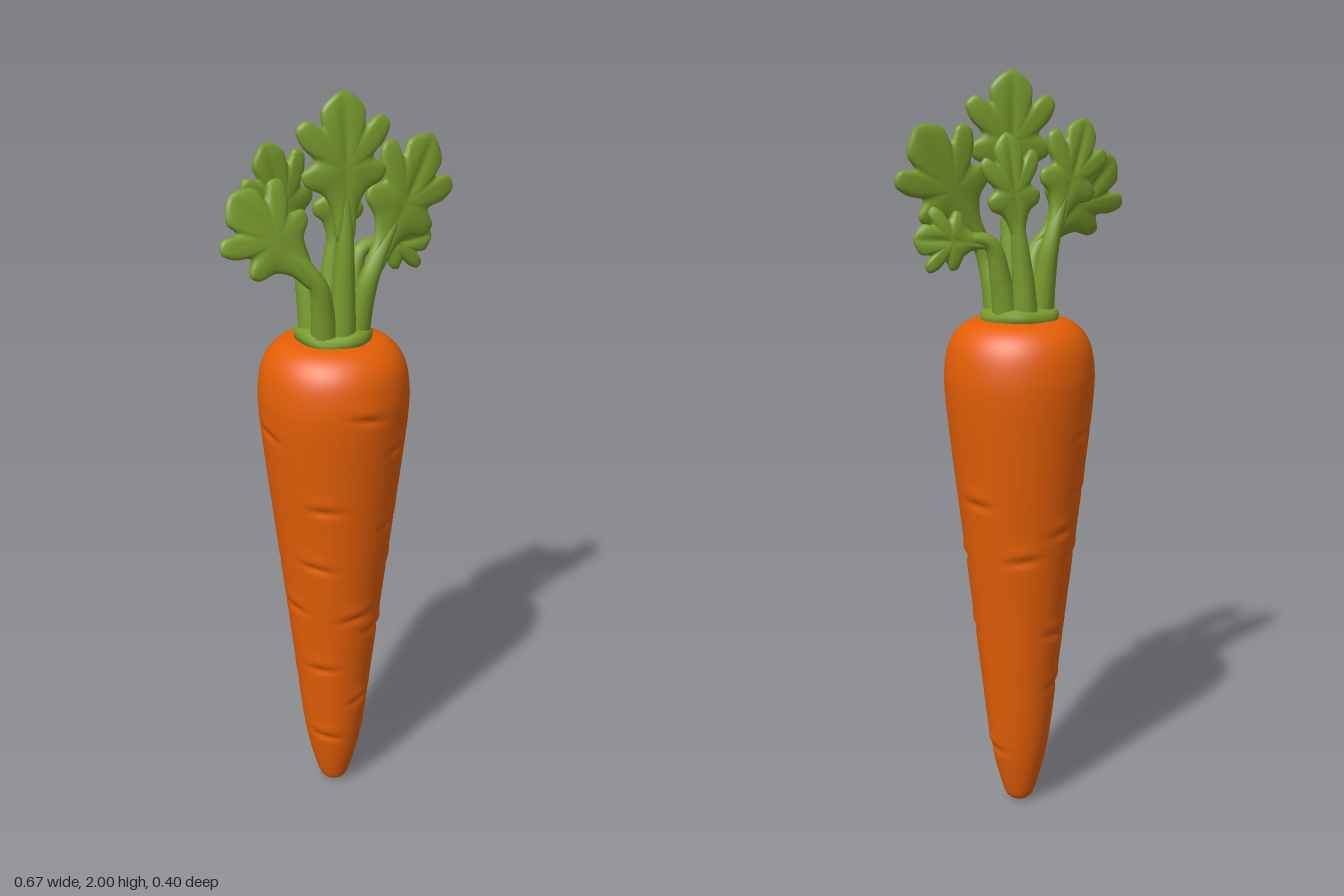
import * as THREE from 'three';
import { mergeVertices } from 'three/addons/utils/BufferGeometryUtils.js';

const V3 = (x, y, z) => new THREE.Vector3(x, y, z);

// Moves every vertex by a rule, then welds and smooths the surface
function reshape(geometry, rule) {
  const pos = geometry.attributes.position;
  const v = new THREE.Vector3();
  for (let i = 0; i < pos.count; i++) {
    v.fromBufferAttribute(pos, i);
    rule(v, i);
    pos.setXYZ(i, v.x, v.y, v.z);
  }
  geometry.deleteAttribute('uv');
  geometry.deleteAttribute('normal');
  const welded = mergeVertices(geometry, 1e-5);
  welded.computeVertexNormals();
  return welded;
}

// Short creases around the root: angle from the front, height
const CREASES = [
  [0, 1.21], [-0.6, 0.95], [0.65, 1.1], [-0.75, 0.77], [0.7, 0.87], [0, 0.6], [0.63, 0.54],
  [-0.75, 0.43], [0.45, 0.31], [-0.75, 0.19], [2.0, 0.9], [1.2, 0.73], [1.1, 0.53], [1.57, 0.17],
  [-2.4, 1.08], [-2.3, 0.92], [-2.25, 0.74], [-2.7, 0.82], [-2.6, 0.52], [-2.3, 0.36], [2.8, 0.75],
  [-1.5, 1.14], [-1.4, 0.62],
];

function rootGeometry() {
  const profile = new THREE.SplineCurve([
    [0, 0], [0.025, 0.006], [0.046, 0.04], [0.08, 0.18], [0.107, 0.4], [0.13, 0.6], [0.154, 0.8],
    [0.178, 1.0], [0.196, 1.17], [0.197, 1.25], [0.183, 1.315], [0.15, 1.357], [0.1, 1.375], [0, 1.378],
  ].map(([x, y]) => new THREE.Vector2(x, y)));
  const points = profile.getSpacedPoints(190);
  points.forEach((p) => { p.x = Math.max(p.x, 0); p.y = Math.max(p.y, 0); });
  return reshape(new THREE.LatheGeometry(points, 72), (v) => {
    const r = Math.hypot(v.x, v.z);
    if (r < 0.02) return;
    const a = Math.atan2(v.x, v.z);
    let d = 0;
    CREASES.forEach(([ca, cy], i) => {
      let da = a - ca;
      da -= Math.round(da / (2 * Math.PI)) * 2 * Math.PI;
      const across = Math.exp(-((da * r / 0.04) ** 2));
      const dy = v.y - cy - da * r * 0.15 * (i % 3 - 1);
      // a sharp groove below a soft swelling
      d += across * (0.003 * Math.exp(-(((dy - 0.025) / 0.02) ** 2)) - 0.007 * Math.exp(-((dy / 0.01) ** 2)));
    });
    const k = (r + d) / r;
    v.x *= k;
    v.z *= k;
  });
}

// Wedge-based lobed leaf outline, one unit long, counter-clockwise from the right side
const HALF = [
  [0.07, 0], [0.11, 0.2], [0.2, 0.33], [0.36, 0.4], [0.39, 0.48], [0.27, 0.56],
  [0.38, 0.66], [0.43, 0.77], [0.34, 0.83], [0.2, 0.77], [0.2, 0.88], [0.11, 0.96],
];
const OUTLINE = new THREE.CatmullRomCurve3([
  ...HALF.map(([x, y]) => V3(x, y, 0)), V3(0, 1, 0),
  ...HALF.slice().reverse().map(([x, y]) => V3(-x, y, 0)),
], true, 'centripetal');

// Puffy leaf blade from its joint to its tip, rolled about its length
function leafGeometry(joint, tip, width, roll, thick) {
  const dir = tip.clone().sub(joint);
  const length = dir.length();
  const up = dir.clone().normalize();
  const side = up.clone().cross(V3(0, 0, 1)).normalize().applyAxisAngle(up, roll);
  const face = side.clone().cross(up);
  const center = V3(0, 0.5, 0);
  const ball = new THREE.SphereGeometry(1, 96, 16).rotateX(Math.PI / 2);
  return reshape(ball, (v) => {
    const t = Math.min(1, Math.hypot(v.x, v.y));
    const turn = (Math.atan2(v.y, v.x) / (2 * Math.PI) + 1.25) % 1;
    const p = OUTLINE.getPoint(turn).sub(center).multiplyScalar(t).add(center);
    const vein = 1 - 0.3 * Math.exp(-((p.x / 0.05) ** 2)) * Math.min(1, p.y * 1.5);
    const z = Math.sign(v.z) * Math.abs(v.z) ** 0.7 * thick * vein;
    v.copy(joint)
      .addScaledVector(side, p.x * length * width)
      .addScaledVector(up, p.y * length)
      .addScaledVector(face, z);
  });
}

// Stalk that tapers from the crown into the blade
function stalkGeometry(start, joint, tip, r0, r1) {
  const mid = start.clone().lerp(joint, 0.5);
  mid.x -= (joint.x - start.x) * 0.15;
  const end = joint.clone().lerp(tip, 0.5);
  const curve = new THREE.CatmullRomCurve3([start, mid, joint, end]);
  const rings = 20, sides = 12;
  return reshape(new THREE.TubeGeometry(curve, rings, 1, sides), (v, i) => {
    const t = Math.floor(i / (sides + 1)) / rings;
    const c = curve.getPointAt(t);
    v.sub(c).multiplyScalar(THREE.MathUtils.lerp(r0, r1, t)).add(c);
  });
}

export function createModel() {
  const orange = new THREE.MeshStandardMaterial({ color: 0xe55f06 });
  orange.name = 'carrotOrange';
  const green = new THREE.MeshStandardMaterial({ color: 0x799b2d });
  green.name = 'leafGreen';

  const model = new THREE.Group();
  model.name = 'carrot';
  const add = (parent, name, geometry, material) => {
    const mesh = new THREE.Mesh(geometry, material);
    mesh.name = name;
    parent.add(mesh);
  };

  add(model, 'root', rootGeometry(), orange);

  // Slightly lumpy crown where the stalks grow
  const crown = new THREE.LatheGeometry([
    [0.085, 1.36], [0.1, 1.372], [0.102, 1.388], [0.094, 1.4], [0.075, 1.404], [0.04, 1.415], [0, 1.42],
  ].map(([x, y]) => new THREE.Vector2(x, y)), 40);
  add(model, 'crown', reshape(crown, (v) => {
    const a = Math.atan2(v.x, v.z);
    const k = 1 + 0.02 * Math.sin(a * 5);
    v.set(v.x * k, v.y + 0.004 * Math.sin(a * 3) * Math.hypot(v.x, v.z) * 10, v.z * k);
  }), green);

  // name, stalk start, blade joint, blade tip, width factor, roll
  const leaves = [
    ['frontLeaf', [0, 1.38, 0.05], [0, 1.64, 0.065], [0, 2.0, 0.05], 0.8, 0],
    ['rightFrontLeaf', [-0.045, 1.38, 0.04], [-0.075, 1.54, 0.065], [-0.29, 1.78, 0.04], 0.85, 0.2],
    ['rightBackLeaf', [-0.05, 1.38, -0.02], [-0.07, 1.58, -0.045], [-0.18, 1.88, -0.015], 0.7, 0.15],
    ['leftFrontLeaf', [0.045, 1.38, 0.035], [0.075, 1.55, 0.06], [0.275, 1.865, 0], 0.78, 0.1],
    ['leftBackLeaf', [0.05, 1.38, -0.03], [0.105, 1.58, -0.05], [0.305, 1.595, -0.045], 0.95, 0],
    ['backLeaf', [0.01, 1.38, -0.055], [0.025, 1.55, -0.065], [0.07, 1.85, -0.075], 0.6, 0],
  ];
  for (const [name, s, j, t, width, roll] of leaves) {
    const leaf = new THREE.Group();
    leaf.name = name;
    const start = V3(...s), joint = V3(...j), tip = V3(...t);
    add(leaf, 'stalk', stalkGeometry(start, joint, tip, 0.036, 0.012), green);
    add(leaf, 'blade', leafGeometry(joint, tip, width, roll, 0.019), green);
    model.add(leaf);
  }
  return model;
}
